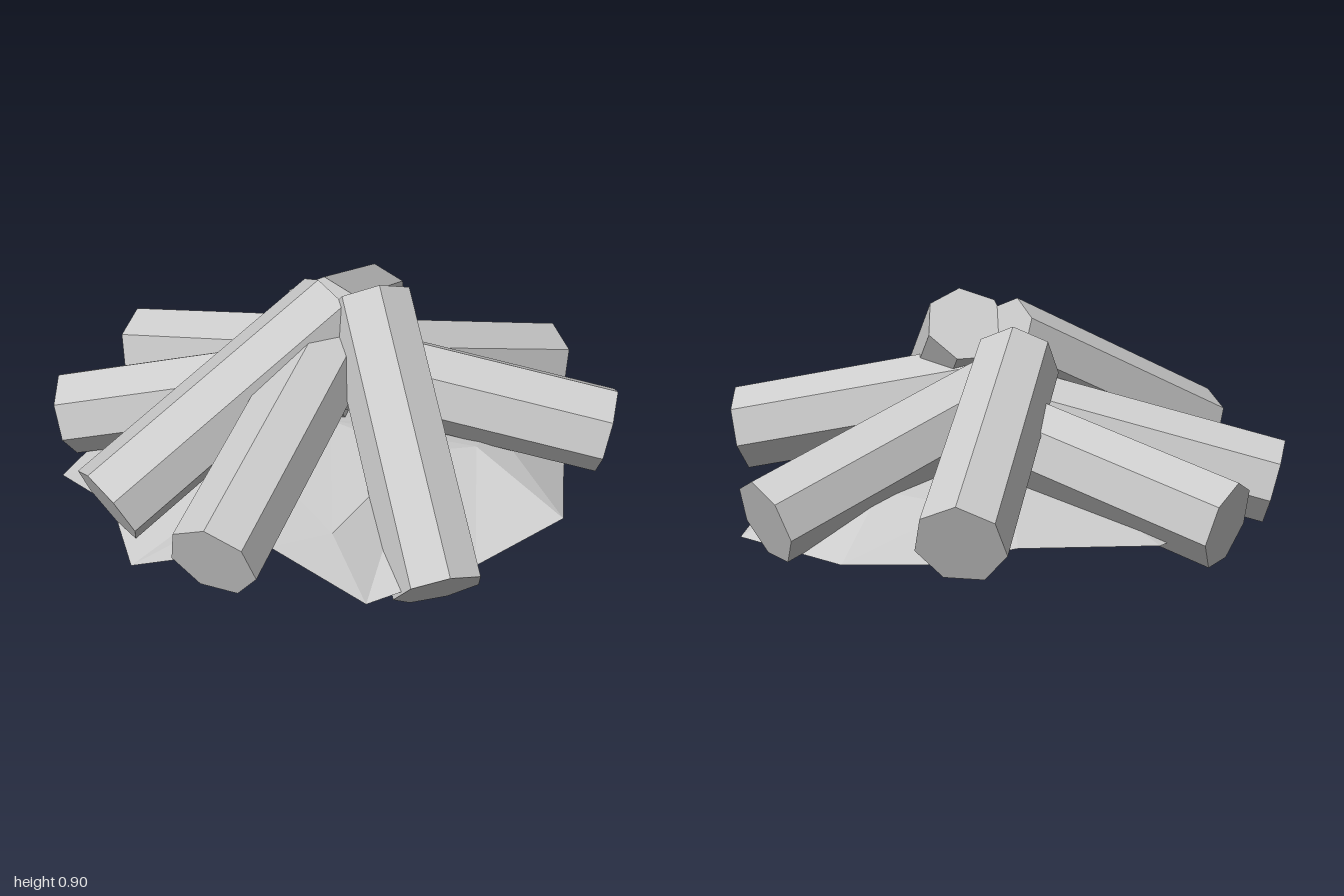
import * as THREE from 'three';

const LOG_RADIUS = 0.153;
const SIDES = 7;

// Each log: outer (lower) end and inner (upper) end of its axis
const LOGS = [
  ['frontLog', [-0.17, 0.1, 0.87], [0.07, 0.78, 0.145]],
  ['frontLeftLog', [0.65, 0.37, 0.745], [-0.09, 0.575, 0.06]],
  ['leftLog', [0.955, 0.23, 0.055], [-0.03, 0.55, 0.055]],
  ['backLeftLog', [0.66, 0.272, -0.648], [-0.015, 0.66, -0.03]],
  ['backLog', [-0.23, 0.24, -0.903], [0.147, 0.48, 0.0]],
  ['backRightLog', [-0.717, 0.245, -0.613], [-0.01, 0.49, 0.08]],
  ['rightLog', [-0.935, 0.282, 0.055], [-0.015, 0.735, 0.055]],
  ['frontRightLog', [-0.852, 0.315, 0.575], [-0.015, 0.635, 0.06]],
];

// Ash bed: low peak, uneven rim, and a raised shoulder along the front half
const PEAK = [-0.1, 0.37, 0.15];
const RIM = [
  { edge: [0.92, 0.11, 0.3], shoulder: [0.54, 0.29, 0.27] },
  { edge: [0.6, 0.16, 0.6], shoulder: [0.42, 0.3, 0.42] },
  { edge: [0.3, 0.235, 0.935], shoulder: [0.25, 0.33, 0.53] },
  { edge: [-0.05, 0.17, 0.91], shoulder: [0.03, 0.35, 0.46] },
  { edge: [-0.42, 0.11, 0.81], shoulder: [-0.42, 0.28, 0.62] },
  { edge: [-0.63, 0.28, 0.57], shoulder: [-0.42, 0.32, 0.34] },
  { edge: [-0.94, 0.12, 0.2] },
  { edge: [-0.84, 0.16, -0.1] },
  { edge: [-0.84, 0.09, -0.47] },
  { edge: [-0.5, 0.15, -0.62] },
  { edge: [-0.03, 0.18, -0.8] },
  { edge: [0.4, 0.2, -0.6] },
  { edge: [0.64, 0.15, -0.44] },
  { edge: [0.82, 0.12, -0.2], shoulder: [0.54, 0.28, 0] },
];

// Seven-sided log with one edge facing up
function makeLog(name, outer, inner, material) {
  const a = new THREE.Vector3(...outer);
  const b = new THREE.Vector3(...inner);
  const axis = b.clone().sub(a);
  const geometry = new THREE.CylinderGeometry(LOG_RADIUS, LOG_RADIUS, axis.length(), SIDES);
  axis.normalize();
  const side = axis.clone().cross(new THREE.Vector3(0, 1, 0)).normalize();
  const up = side.clone().cross(axis);
  const log = new THREE.Mesh(geometry, material);
  log.name = name;
  log.quaternion.setFromRotationMatrix(new THREE.Matrix4().makeBasis(side, axis, up));
  log.position.copy(a).add(b).multiplyScalar(0.5);
  return log;
}

// Thin faceted shell; without a shoulder it runs straight from peak to rim
function makeAshBed(material) {
  const shoulders = RIM.map(({ edge, shoulder }) =>
    shoulder ?? edge.map((v, k) => THREE.MathUtils.lerp(PEAK[k], v, 0.6)));
  const points = [];
  RIM.forEach(({ edge }, i) => {
    const j = (i + 1) % RIM.length;
    const next = RIM[j].edge;
    points.push(...edge, ...shoulders[i], ...next);
    points.push(...shoulders[i], ...shoulders[j], ...next);
    points.push(...shoulders[i], ...PEAK, ...shoulders[j]);
  });
  const geometry = new THREE.BufferGeometry();
  geometry.setAttribute('position', new THREE.Float32BufferAttribute(points, 3));
  geometry.computeVertexNormals();
  const bed = new THREE.Mesh(geometry, material);
  bed.name = 'ashBed';
  return bed;
}

export function createModel() {
  const wood = new THREE.MeshStandardMaterial({ color: 0xcccccc, flatShading: true });
  const ash = new THREE.MeshStandardMaterial({ color: 0xcccccc, flatShading: true, side: THREE.DoubleSide });
  const group = new THREE.Group();
  group.name = 'campfire';
  group.add(makeAshBed(ash));
  for (const [name, outer, inner] of LOGS) group.add(makeLog(name, outer, inner, wood));
  return group;
}
